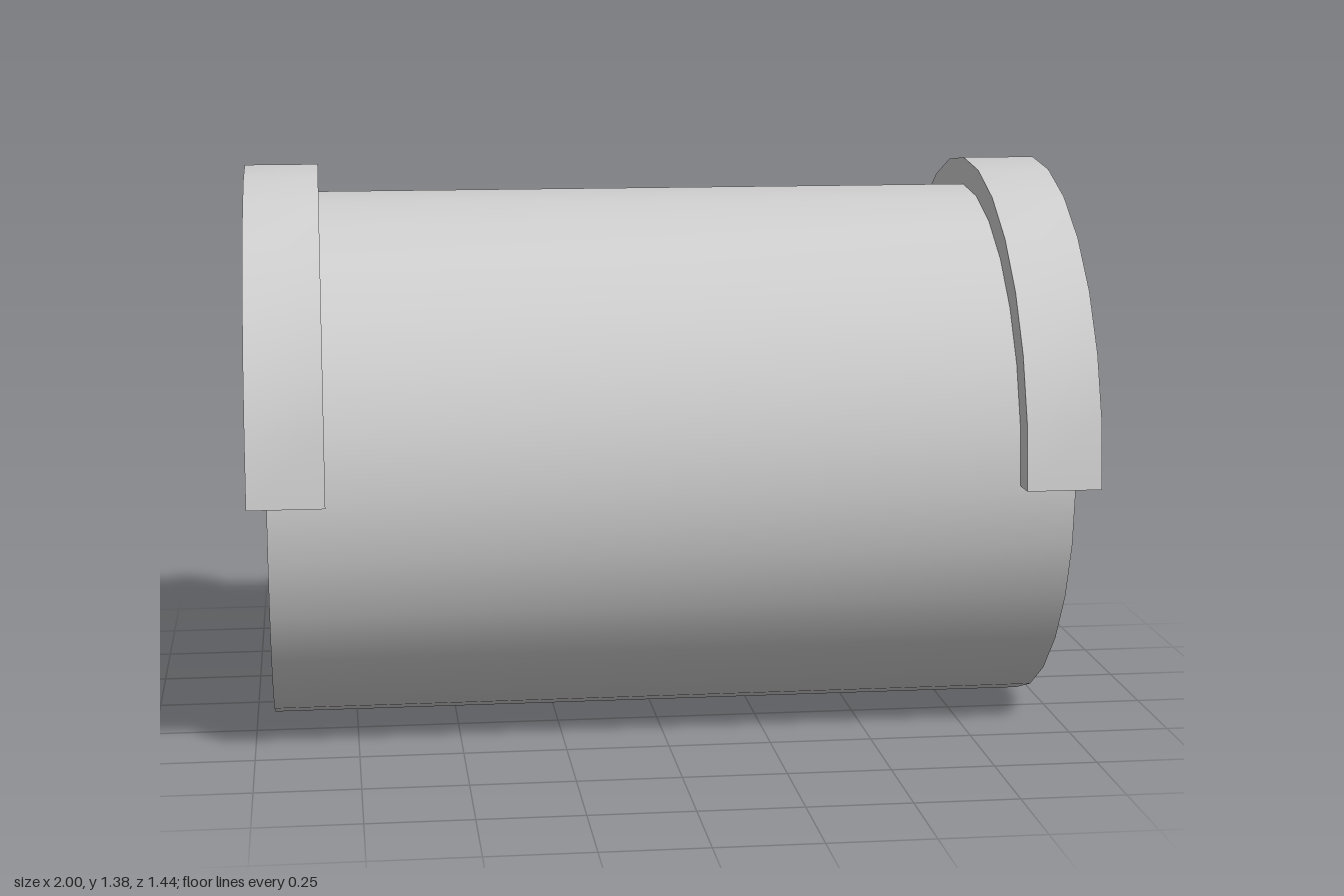
import * as THREE from 'three';
import { toCreasedNormals } from 'three/addons/utils/BufferGeometryUtils.js';

const AXIS_Y = 0.66; // height of the tube's axis

// Extrude a profile drawn around the axis, centred on x, with smooth round walls
function extrudeAlongX(shape, length, curveSegments) {
  const geometry = new THREE.ExtrudeGeometry(shape, { depth: length, bevelEnabled: false, curveSegments });
  geometry.translate(0, 0, -length / 2);
  geometry.rotateY(Math.PI / 2);
  return toCreasedNormals(geometry, Math.PI / 6);
}

export function createModel() {
  const model = new THREE.Group();
  model.name = 'collaredSleeve';
  const material = new THREE.MeshStandardMaterial({ color: 0xcccccc });

  // Hollow tube, 28 sides
  const tubeShape = new THREE.Shape().absarc(0, 0, 0.657, 0, Math.PI * 2, false);
  tubeShape.holes.push(new THREE.Path().absarc(0, 0, 0.565, 0, Math.PI * 2, true));
  const tube = new THREE.Mesh(extrudeAlongX(tubeShape, 1.91, 14), material);
  tube.name = 'tube';
  tube.position.y = AXIS_Y - 0.003;
  model.add(tube);

  // Half-ring collars over the upper half of each end, 14 sides
  const collarShape = new THREE.Shape();
  collarShape.absarc(0, 0, 0.722, 0, Math.PI, false);
  collarShape.absarc(0, 0, 0.514, Math.PI, 0, true);
  collarShape.closePath();
  const collarGeometry = extrudeAlongX(collarShape, 0.18, 7);
  for (const [name, side] of [['leftCollar', 1], ['rightCollar', -1]]) {
    const collar = new THREE.Mesh(collarGeometry, material);
    collar.name = name;
    collar.position.set(side * 0.91, AXIS_Y, 0);
    model.add(collar);
  }
  return model;
}
